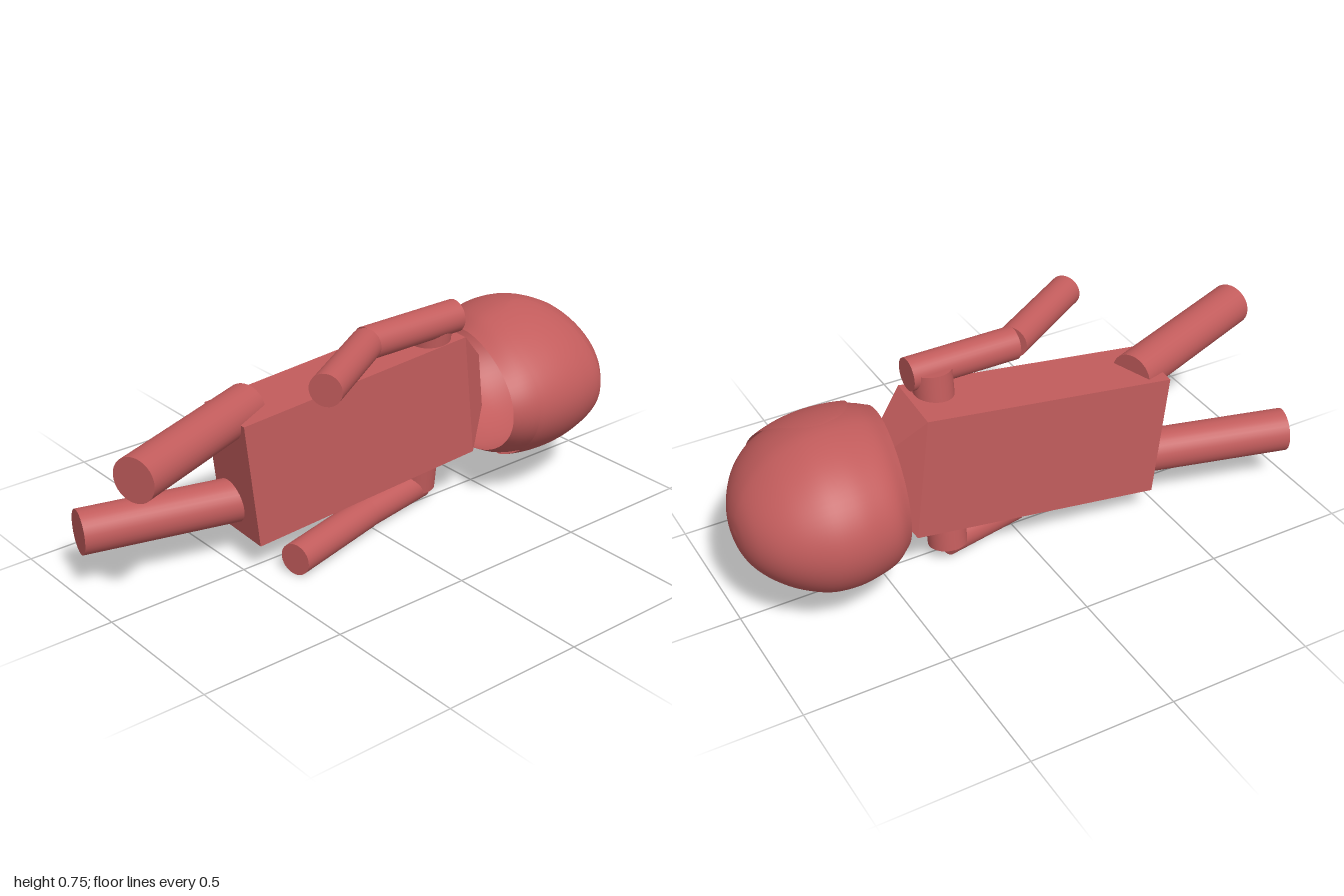
import * as THREE from 'three';
import { mergeVertices } from 'three/addons/utils/BufferGeometryUtils.js';

// Walking figure lying on its side: head towards -z, facing +x.
const MID_Y = 0.377;

// Helmet sections from neck rim to crown: [z back, z front, half width], [x back, x front]
const SECTIONS = [
  [-0.505, -0.41, 0.212, -0.27, 0.295],
  [-0.56, -0.48, 0.245, -0.312, 0.318],
  [-0.63, -0.56, 0.262, -0.332, 0.328],
  [-0.70, -0.65, 0.268, -0.34, 0.327],
  [-0.78, -0.74, 0.257, -0.33, 0.314],
  [-0.86, -0.83, 0.222, -0.293, 0.285],
  [-0.925, -0.905, 0.172, -0.24, 0.218],
  [-0.97, -0.96, 0.117, -0.175, 0.125],
  [-0.993, -0.99, 0.06, -0.107, 0.04],
  [-1.0, -1.0, 0.0, -0.035, -0.035],
];
const curve = (pick) => new THREE.CatmullRomCurve3(
  SECTIONS.map((s) => new THREE.Vector3(...pick(s))), false, 'catmullrom');
const depthCurve = curve((s) => [s[0], s[1], s[2]]);
const spanCurve = curve((s) => [s[3], s[4], 0]);

// Point on the egg-shaped helmet at angle t (0 = face) and height v
function helmetPoint(t, v, lift = 0) {
  const d = depthCurve.getPoint(v), s = spanCurve.getPoint(v), c = Math.cos(t);
  const a = (s.y - s.x) / 2 + lift;
  return new THREE.Vector3(
    (s.x + s.y) / 2 + a * c,
    MID_Y + (Math.max(d.z, 0) + lift) * Math.sin(t) * (1 - 0.1 * Math.max(0, c)),
    THREE.MathUtils.lerp(d.x, d.y, (1 + c) / 2));
}

// Height parameter at which the helmet reaches a given z
function heightAt(t, z) {
  let lo = 0, hi = 1;
  for (let i = 0; i < 24; i++) {
    const m = (lo + hi) / 2;
    if (helmetPoint(t, m).z > z) lo = m; else hi = m;
  }
  return lo;
}

// Smooth surface over a grid of points
function gridSurface(nu, nv, fn) {
  const pos = [], idx = [];
  for (let j = 0; j <= nv; j++) {
    for (let i = 0; i <= nu; i++) pos.push(...fn(i / nu, j / nv).toArray());
  }
  for (let j = 0; j < nv; j++) {
    for (let i = 0; i < nu; i++) {
      const a = j * (nu + 1) + i, b = a + nu + 1;
      idx.push(a, b, a + 1, a + 1, b, b + 1);
    }
  }
  const g = new THREE.BufferGeometry();
  g.setAttribute('position', new THREE.Float32BufferAttribute(pos, 3));
  g.setIndex(idx);
  const merged = mergeVertices(g, 1e-5);
  merged.computeVertexNormals();
  return merged;
}

export function createModel() {
  const model = new THREE.Group();
  const red = new THREE.MeshStandardMaterial({ color: 0xc25c5c, side: THREE.DoubleSide });
  red.name = 'dusty red';

  const add = (name, geometry) => {
    const mesh = new THREE.Mesh(geometry, red);
    mesh.name = name;
    model.add(mesh);
    return mesh;
  };

  // Cylinder between two points
  const limb = (name, from, to, radius) => {
    const a = new THREE.Vector3(...from), b = new THREE.Vector3(...to);
    const dir = b.clone().sub(a);
    const mesh = add(name, new THREE.CylinderGeometry(radius, radius, dir.length(), 32));
    mesh.position.copy(a).add(b).multiplyScalar(0.5);
    mesh.quaternion.setFromUnitVectors(new THREE.Vector3(0, 1, 0), dir.normalize());
  };

  // Torso and tapered shoulders share one tilted frame
  const frame = new THREE.Matrix4().makeBasis(
    new THREE.Vector3(0.232, 0, 0.012),
    new THREE.Vector3(0, 0.44, 0.05),
    new THREE.Vector3(-0.058, -0.09, 0.87),
  ).setPosition(-0.036, 0.365, 0.05);
  add('torso', new THREE.BoxGeometry(1, 1, 1).applyMatrix4(frame));

  const neck = new THREE.BoxGeometry(1, 1, 0.11).translate(0, 0, -0.555);
  const p = neck.attributes.position;
  for (let i = 0; i < p.count; i++) {
    if (p.getZ(i) < -0.6) p.setXY(i, p.getX(i) * 0.5, p.getY(i) * 0.45);
  }
  neck.applyMatrix4(frame);
  neck.computeVertexNormals();
  add('neck', neck);

  // Shoulder axle through the torso
  limb('shoulders', [0.042, 0.705, -0.267], [-0.03, 0.055, -0.262], 0.067);

  // Arms
  limb('leftUpperArm', [0.06, 0.696, -0.345], [0.06, 0.696, 0.04], 0.056);
  limb('leftForearm', [0.065, 0.696, 0.04], [0.265, 0.696, 0.362], 0.055);
  limb('rightUpperArm', [-0.027, 0.059, -0.27], [0.03, 0.059, 0.025], 0.055);
  limb('rightForearm', [0.03, 0.059, 0.015], [0.13, 0.059, 0.388], 0.055);

  // Legs
  limb('leftLeg', [-0.088, 0.535, 0.41], [0.128, 0.535, 0.965], 0.075);
  limb('rightLeg', [-0.08, 0.21, 0.40], [-0.228, 0.21, 0.965], 0.075);

  // Open helmet shell
  add('helmet', gridSurface(72, 48, (u, v) =>
    helmetPoint((u % 1) * Math.PI * 2, v)));

  // Visor: thin raised plate wrapping the face, rounded at both ends
  add('visor', gridSurface(64, 20, (u, q) => {
    const s = u * 2 - 1, k = Math.abs(s), t = s * 1.56;
    const low = -0.67 + 0.17 * Math.sqrt(Math.max(0, 1 - k ** 4.5));
    const high = -0.67 - 0.16 * Math.sqrt(Math.max(0, 1 - k ** 2.4));
    return helmetPoint(t, heightAt(t, THREE.MathUtils.lerp(low, high, q)), 0.008);
  }));

  return model;
}
